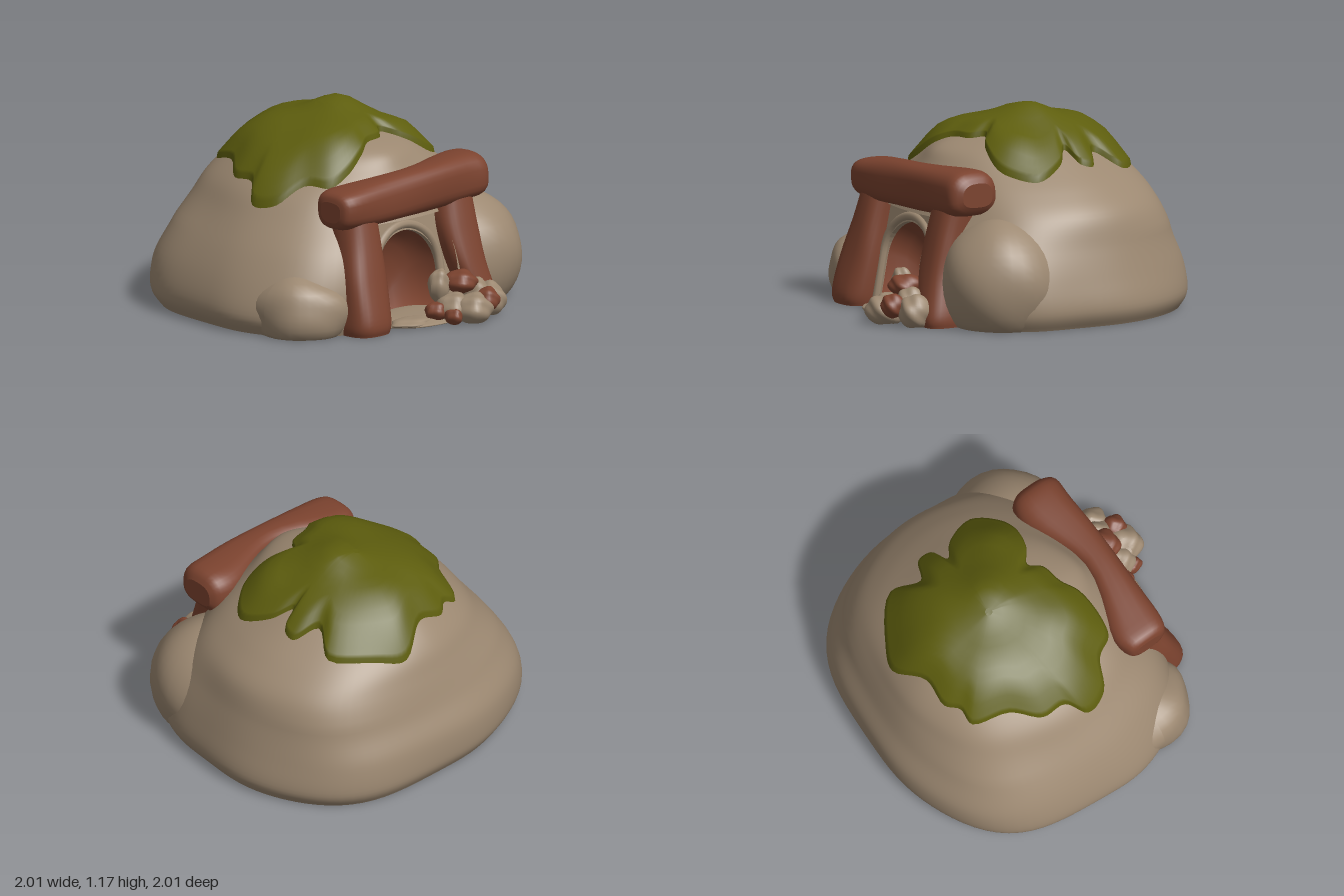
import * as THREE from 'three';

const stone = new THREE.MeshStandardMaterial({ color: 0x9c8871 });
stone.name = 'stone';
const clay = new THREE.MeshStandardMaterial({ color: 0x7c432f });
clay.name = 'redClay';
const mossGreen = new THREE.MeshStandardMaterial({ color: 0x5e5e0e });
mossGreen.name = 'mossGreen';

const V = (x, y, z) => new THREE.Vector3(x, y, z);

function add(group, name, geometry, material) {
  const mesh = new THREE.Mesh(geometry, material);
  mesh.name = name;
  group.add(mesh);
  return mesh;
}

// Skin a series of closed rings, with optional end caps and skipped faces
function loft(rings, { start = false, end = false, skip = null } = {}) {
  const n = rings[0].length, pts = rings.flat(), index = [];
  const tri = (a, b, c) => {
    const mid = V(0, 0, 0).add(pts[a]).add(pts[b]).add(pts[c]).divideScalar(3);
    if (!skip || !skip(mid)) index.push(a, b, c);
  };
  for (let i = 0; i < rings.length - 1; i++) {
    for (let j = 0; j < n; j++) {
      const a = i * n + j, b = i * n + (j + 1) % n;
      tri(a, b, b + n);
      tri(a, b + n, a + n);
    }
  }
  const cap = (ring, flip) => {
    const base = pts.length;
    const mid = ring.reduce((s, p) => s.add(p), V(0, 0, 0)).divideScalar(n);
    pts.push(...ring, mid);
    for (let j = 0; j < n; j++) {
      const a = base + j, b = base + (j + 1) % n;
      index.push(flip ? b : a, flip ? a : b, base + n);
    }
  };
  if (start) cap(rings[0], true);
  if (end) cap(rings[rings.length - 1], false);
  const g = new THREE.BufferGeometry().setFromPoints(pts);
  g.setIndex(index);
  g.computeVertexNormals();
  return g;
}

// Smoothly resample the columns of a table of sections
function resample(rows, count) {
  const columns = rows[0].map((_, k) => new THREE.SplineCurve(rows.map((r, i) => new THREE.Vector2(i, r[k]))));
  return Array.from({ length: count + 1 }, (_, i) => columns.map((c) => c.getPoint(i / count).y));
}

const spow = (v, e) => Math.sign(v) * Math.abs(v) ** e;

// Rounded column: sections are [y, x, z, rx, rz]
function column(sections) {
  const rings = resample(sections, 24).map(([y, x, z, rx, rz]) =>
    Array.from({ length: 28 }, (_, j) => {
      const a = (j / 28) * Math.PI * 2;
      const w = 1 + 0.025 * Math.sin(3 * a + y * 9);
      return V(x + rx * w * spow(Math.cos(a), 0.72), y, z - rz * w * spow(Math.sin(a), 0.72));
    }));
  return loft(rings, { start: true, end: true });
}

// Lumpy ellipsoid, flattened where it meets the ground
function boulder(x, y, z, rx, ry, rz, lump) {
  const g = new THREE.SphereGeometry(1, 32, 22);
  const p = g.attributes.position;
  for (let i = 0; i < p.count; i++) {
    const v = V(0, 0, 0).fromBufferAttribute(p, i);
    const w = 1 + lump * Math.sin(4 * v.x + 2 * v.y + x * 5) * Math.cos(4 * v.z - 3 * v.y);
    p.setXYZ(i, x + v.x * rx * w, Math.max(0.005, y + v.y * ry * w), z + v.z * rz * w);
  }
  g.computeVertexNormals();
  return g;
}

// Domed body: [y, xMin, xMax, zMin, zMax, zCentre, frontPower]
function bodyGeometry() {
  const levels = [
    [0.005, -0.94, 0.96, -0.95, 0.69, -0.05, 2.9],
    [0.10, -0.99, 1.00, -1.00, 0.71, -0.05, 2.9],
    [0.27, -0.95, 0.97, -0.99, 0.71, -0.06, 2.9],
    [0.44, -0.87, 0.93, -0.91, 0.67, -0.08, 2.7],
    [0.62, -0.74, 0.87, -0.85, 0.58, -0.10, 2.4],
    [0.75, -0.64, 0.74, -0.80, 0.53, -0.12, 2.2],
    [0.86, -0.51, 0.59, -0.71, 0.47, -0.14, 2],
    [0.95, -0.38, 0.45, -0.59, 0.39, -0.15, 1.9],
    [1.01, -0.24, 0.32, -0.46, 0.21, -0.15, 2],
    [1.06, -0.02, 0.16, -0.22, -0.06, -0.14, 2],
  ];
  const n = 96;
  const rings = resample(levels, 54).map(([y, x0, x1, z0, z1, cz, power]) =>
    Array.from({ length: n }, (_, j) => {
      const a = (j / n) * Math.PI * 2, c = Math.cos(a), s = -Math.sin(a);
      const p = s > 0 ? power : Math.min(2.6, power);
      const r = (Math.abs(c) ** p + Math.abs(s) ** p) ** (-1 / p);
      const w = r * (1 + 0.014 * Math.sin(5 * a + 6 * y) * Math.cos(3 * a - 4 * y));
      return V(c * w * (c > 0 ? x1 : -x0), y, cz + s * w * (s > 0 ? z1 - cz : cz - z0));
    }));
  const doorway = (m) => Math.abs(m.x + 0.03) < 0.3 && m.y > 0.006 && m.y < 0.6 && m.z > 0.3;
  return loft(rings, { start: true, end: true, skip: doorway });
}

// Moss draped over the body, from an outline of [x, z]
function mossGeometry(body) {
  const outline = [
    [0.15, -0.78], [0.30, -0.72], [0.53, -0.52], [0.45, -0.36], [0.58, -0.28], [0.57, -0.20], [0.46, -0.16],
    [0.56, -0.07], [0.62, 0.12], [0.50, 0.25], [0.40, 0.28], [0.25, 0.25], [0.14, 0.18], [0.08, 0.25],
    [-0.05, 0.28], [-0.15, 0.34], [-0.30, 0.37], [-0.42, 0.35], [-0.50, 0.23], [-0.65, 0.15], [-0.70, 0.0],
    [-0.61, -0.10], [-0.60, -0.25], [-0.48, -0.40], [-0.40, -0.61], [-0.30, -0.62], [-0.22, -0.68], [-0.05, -0.68],
  ].reverse().map(([x, z]) => V(x, 0, z));
  const edge = new THREE.CatmullRomCurve3(outline, true).getPoints(140).slice(0, 140);
  // Cushions of thicker growth: [x, z, width, height]
  const cushions = [[0.12, -0.15, 0.17, 0.05], [0.42, 0.12, 0.12, 0.03], [-0.3, 0.1, 0.2, 0.03], [0.1, -0.5, 0.18, 0.03]];
  const ray = new THREE.Raycaster();
  const down = V(0, -1, 0), centre = V(0, 0, -0.2);
  const rings = [1, 0.985, 0.96, 0.92, 0.86, 0.78, 0.69, 0.59, 0.48, 0.37, 0.26, 0.15, 0.04].map((k) =>
    edge.map((e) => {
      // The ragged outline eases into a circle towards the middle
      const d = e.clone().sub(centre);
      const w = THREE.MathUtils.smoothstep(k, 0, 1);
      const p = centre.clone().add(d.setLength(k * (d.length() * w + 0.52 * (1 - w))));
      ray.set(V(p.x, 3, p.z), down);
      const hit = ray.intersectObject(body)[0];
      const lump = cushions.reduce((s, [x, z, size, h]) =>
        s + h * Math.exp(-((p.x - x) ** 2 + (p.z - z) ** 2) / size ** 2), 0.012 * Math.sin(9 * p.x + 1) * Math.cos(8 * p.z));
      const thick = k === 1 ? -0.02 : (0.062 + lump) * Math.min(1, 0.4 + 3 * (1 - k));
      return p.setY((hit ? hit.point.y : 0.75) + thick);
    }));
  return loft(rings, { end: true });
}

// Arched outline of the doorway, right to left
const arch = Array.from({ length: 25 }, (_, i) => {
  const a = (i / 24) * Math.PI;
  return [-0.035 + 0.235 * Math.cos(a), 0.28 + 0.24 * Math.sin(a)];
});
const archLoop = [[0.2, 0.01], ...arch, [-0.27, 0.01]];

export function createModel() {
  const model = new THREE.Group();
  model.name = 'rockShelter';

  const body = add(model, 'rockBody', bodyGeometry(), stone);
  add(model, 'leftShoulderBoulder', boulder(0.6, 0.25, 0.36, 0.36, 0.38, 0.36, 0.02), stone);
  add(model, 'rightShoulderBoulder', boulder(-0.68, 0.13, 0.36, 0.28, 0.25, 0.32, 0.05), stone);
  add(model, 'mossCap', mossGeometry(body), mossGreen);

  // Stone rim around the arched opening, leaning back
  const rim = new THREE.Shape([[-0.4, 0], [0.34, 0], [0.36, 0.68], [-0.4, 0.68]].map((p) => new THREE.Vector2(...p)));
  rim.holes.push(new THREE.Path(archLoop.map((p) => new THREE.Vector2(...p))));
  const rimGeometry = new THREE.ExtrudeGeometry(rim, { depth: 0.03, bevelEnabled: false });
  rimGeometry.translate(0, 0, -0.03).rotateX(-0.19).translate(0, 0.012, 0.66);
  add(model, 'doorRim', rimGeometry, stone);

  // Raised lip following the arch
  const lipPath = new THREE.CatmullRomCurve3(archLoop.map(([x, y]) =>
    V(-0.035 + (x + 0.035) * 1.06, 0.03 + y * 1.01, 0.65 - 0.19 * y)));
  add(model, 'archLip', new THREE.TubeGeometry(lipPath, 48, 0.026, 8), stone);

  // Rounded hollow behind the opening
  const hollow = [1.02, 0.98, 0.9, 0.78, 0.62, 0.44, 0.24, 0.05].map((k) => archLoop.map(([x, y]) =>
    V(-0.035 + (x + 0.035) * k, 0.01 + y * k, 0.63 - 0.19 * y * k - 0.27 * Math.sqrt(Math.max(0, 1 - k * k)))));
  add(model, 'doorHollow', loft(hollow, { end: true }), clay);

  // Door frame: two leaning posts and a heavy lintel
  add(model, 'rightPost', column([
    [0.005, -0.44, 0.66, 0.14, 0.13], [0.08, -0.44, 0.66, 0.15, 0.14], [0.3, -0.425, 0.61, 0.142, 0.135],
    [0.5, -0.405, 0.56, 0.125, 0.13], [0.68, -0.39, 0.51, 0.12, 0.13],
  ]), clay);
  add(model, 'leftPost', column([
    [0.005, 0.445, 0.67, 0.1, 0.12], [0.08, 0.44, 0.67, 0.105, 0.125], [0.3, 0.375, 0.61, 0.118, 0.135],
    [0.5, 0.355, 0.56, 0.13, 0.13], [0.68, 0.36, 0.51, 0.13, 0.13],
  ]), clay);
  const lintel = column([
    [-0.575, -0.71, 0.52, 0.06, 0.08], [-0.545, -0.715, 0.52, 0.105, 0.13], [-0.4, -0.722, 0.52, 0.12, 0.155],
    [0, -0.745, 0.575, 0.133, 0.1], [0.38, -0.762, 0.515, 0.136, 0.158], [0.53, -0.765, 0.515, 0.125, 0.155],
    [0.58, -0.765, 0.51, 0.07, 0.1],
  ]);
  add(model, 'lintel', lintel.rotateZ(-Math.PI / 2), clay);

  // Threshold slab and a small heap of rubble
  add(model, 'threshold', boulder(0.05, 0.012, 0.62, 0.36, 0.03, 0.22, 0.06), stone);
  const rubble = [
    [0.10, 0.20, 0.72, 0.065, 0.10, 0.06, stone], [0.22, 0.215, 0.77, 0.095, 0.065, 0.10, clay],
    [0.20, 0.08, 0.90, 0.11, 0.09, 0.11, stone], [0.30, 0.12, 0.91, 0.07, 0.07, 0.07, clay],
    [0.40, 0.09, 0.82, 0.09, 0.10, 0.10, stone], [0.32, 0.12, 0.80, 0.08, 0.10, 0.09, stone],
    [0.03, 0.07, 0.77, 0.065, 0.055, 0.065, clay], [0.07, 0.05, 0.87, 0.045, 0.05, 0.06, clay],
    [0.13, 0.08, 0.81, 0.10, 0.09, 0.10, stone], [-0.12, 0.02, 0.72, 0.14, 0.03, 0.09, stone],
  ];
  const heap = new THREE.Group();
  heap.name = 'rubbleHeap';
  model.add(heap);
  rubble.forEach(([x, y, z, rx, ry, rz, mat]) => add(heap, 'rubbleStone', boulder(x, y, z, rx, ry, rz, 0.1), mat));

  return model;
}
